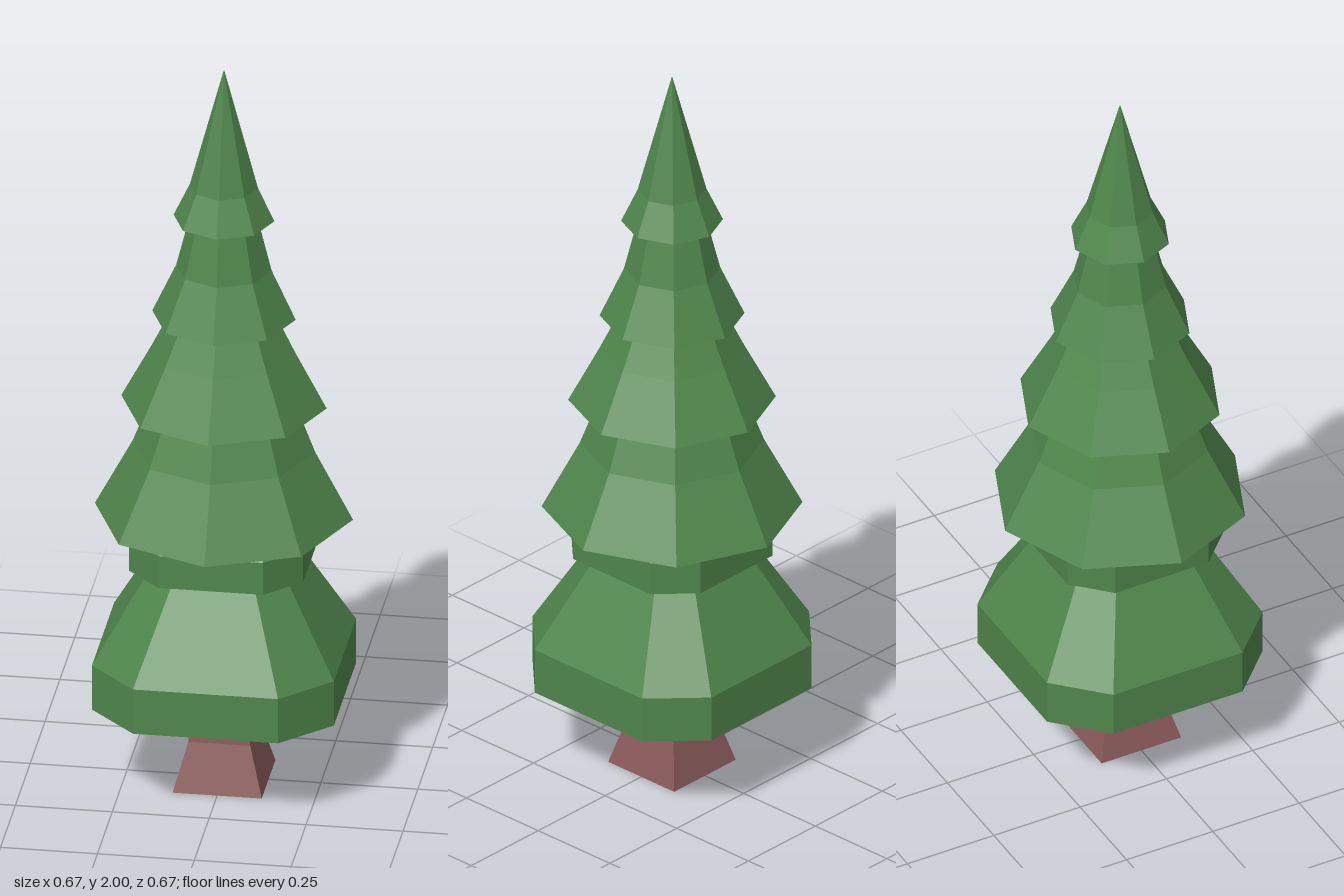
import * as THREE from 'three';

// Unit outlines as [x, z], running from the front towards +x
const SQUARE = [[-1, 1], [1, 1], [1, -1], [-1, -1]];
const CHAMFERED = [
  [-0.6, 1], [0.6, 1], [1, 0.6], [1, -0.6],
  [0.6, -1], [-0.6, -1], [-1, -0.6], [-1, 0.6],
];
const OCTAGON = Array.from({ length: 8 }, (_, i) => {
  const a = (i * Math.PI) / 4;
  return [Math.sin(a), Math.cos(a)];
});

// Closed solid: an outline scaled to each [radius, y] section, bottom to top
function loft(outline, sections) {
  const positions = [];
  const n = outline.length;
  const point = ([r, y], i) => [outline[i % n][0] * r, y, outline[i % n][1] * r];
  const triangle = (a, b, c) => positions.push(...a, ...b, ...c);
  const first = sections[0];
  const last = sections[sections.length - 1];

  for (let i = 0; i < n; i++) {
    for (let s = 0; s < sections.length - 1; s++) {
      const lower = sections[s];
      const upper = sections[s + 1];
      triangle(point(lower, i), point(lower, i + 1), point(upper, i + 1));
      if (upper[0] > 0) triangle(point(lower, i), point(upper, i + 1), point(upper, i));
    }
    triangle(point(first, i + 1), point(first, i), [0, first[1], 0]);
    if (last[0] > 0) triangle(point(last, i), point(last, i + 1), [0, last[1], 0]);
  }

  const geometry = new THREE.BufferGeometry();
  geometry.setAttribute('position', new THREE.Float32BufferAttribute(positions, 3));
  geometry.computeVertexNormals();
  return geometry;
}

export function createModel() {
  const tree = new THREE.Group();
  tree.name = 'pineTree';
  const bark = new THREE.MeshStandardMaterial({ color: 0x8a5a5a, flatShading: true });
  const needles = new THREE.MeshStandardMaterial({ color: 0x4f864b, flatShading: true });

  function add(name, outline, sections, material, parent = tree) {
    const mesh = new THREE.Mesh(loft(outline, sections), material);
    mesh.name = name;
    parent.add(mesh);
  }

  // Square trunk flaring at the root
  add('trunk', SQUARE, [[0.115, 0], [0.08, 0.13], [0.068, 0.255]], bark);

  // Heavy lower skirt and the band above it
  add('lowerSkirt', CHAMFERED, [[0.312, 0.255], [0.312, 0.38], [0.172, 0.63]], needles);
  add('middleBand', CHAMFERED, [[0.225, 0.63], [0.225, 0.72], [0.2, 0.75]], needles);

  // Four pointed tiers, each tucked under the next
  const tiers = [
    [[0.333, 0.75], [0.235, 0.935], [0.187, 1.06]],
    [[0.265, 1.06], [0.185, 1.21], [0.138, 1.305]],
    [[0.185, 1.305], [0.123, 1.44], [0.088, 1.58]],
    [[0.13, 1.58], [0.088, 1.67], [0, 2]],
  ];
  const boughs = new THREE.Group();
  boughs.name = 'upperBoughs';
  tiers.forEach((sections, i) => add(`boughTier${i + 1}`, OCTAGON, sections, needles, boughs));
  tree.add(boughs);

  return tree;
}
